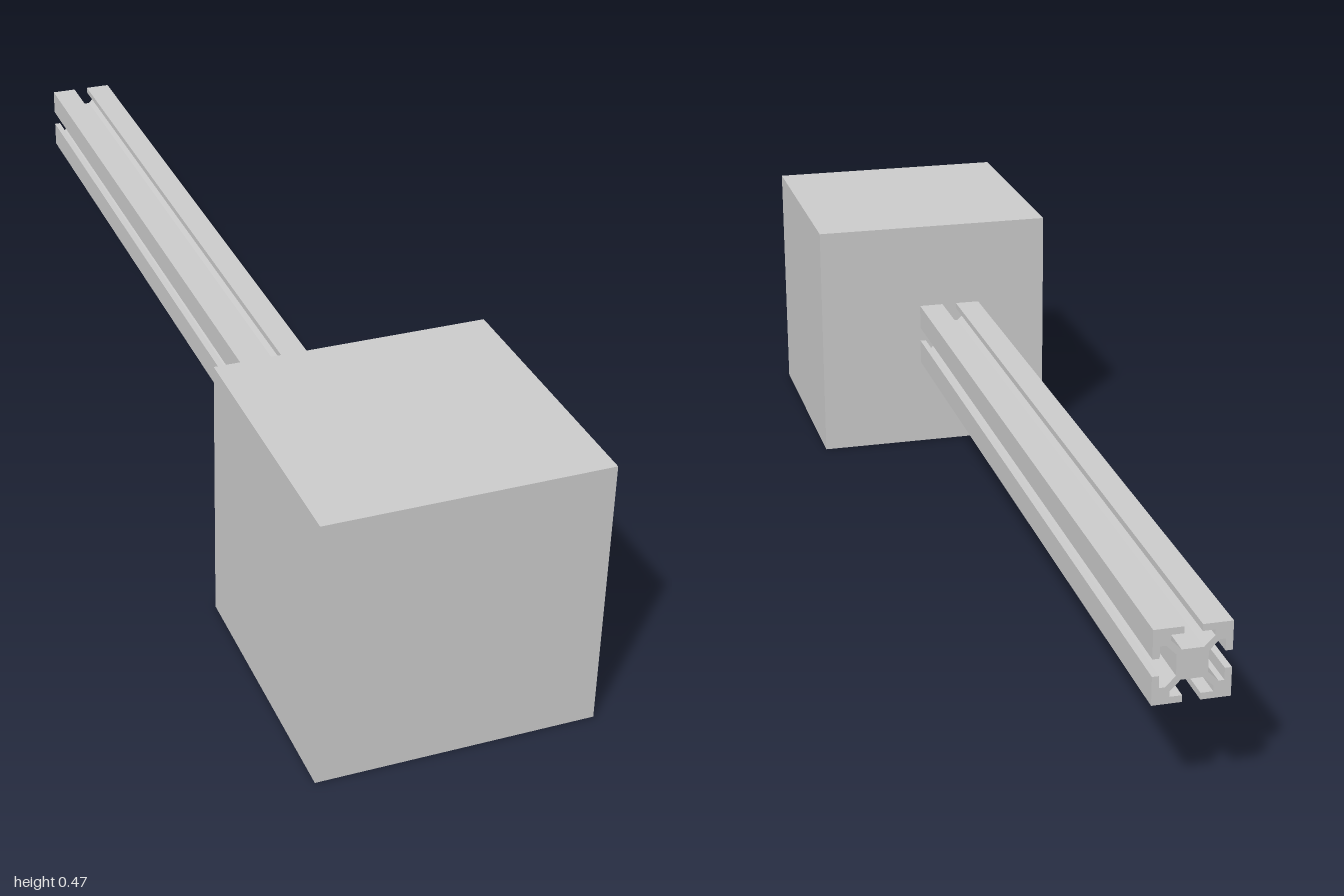
import * as THREE from 'three';

const CUBE = 0.47;
const BEAM_W = 0.124;
const BEAM_X = -0.033;
const BEAM_Y = 0.238;

// Slotted square section: one side with its T-slot, turned four times
function slottedSection(width) {
  const half = [[1, 1], [0.23, 1], [0.23, 0.82], [0.55, 0.82], [0.55, 0.67], [0.28, 0.4]];
  const side = [...half, ...half.slice(1).reverse().map(([x, y]) => [-x, y])];
  const points = [];
  for (let i = 0; i < 4; i++) {
    const c = Math.round(Math.cos(i * Math.PI / 2));
    const s = Math.round(Math.sin(i * Math.PI / 2));
    for (const [x, y] of side) {
      points.push(new THREE.Vector2(x * c - y * s, x * s + y * c).multiplyScalar(width / 2));
    }
  }
  return new THREE.Shape(points);
}

export function createModel() {
  const group = new THREE.Group();
  const material = new THREE.MeshStandardMaterial({ color: 0xcccccc, flatShading: true });

  // Solid cube at the front end
  const cube = new THREE.Mesh(new THREE.BoxGeometry(CUBE, CUBE, CUBE), material);
  cube.name = 'endCube';
  cube.position.set(0, CUBE / 2, 1 - CUBE / 2);
  group.add(cube);

  // Extruded rail running from the back end to the cube
  const rail = new THREE.Mesh(
    new THREE.ExtrudeGeometry(slottedSection(BEAM_W), { depth: 2 - CUBE, bevelEnabled: false }),
    material
  );
  rail.name = 'slottedRail';
  rail.position.set(BEAM_X, BEAM_Y, -1);
  group.add(rail);

  return group;
}
